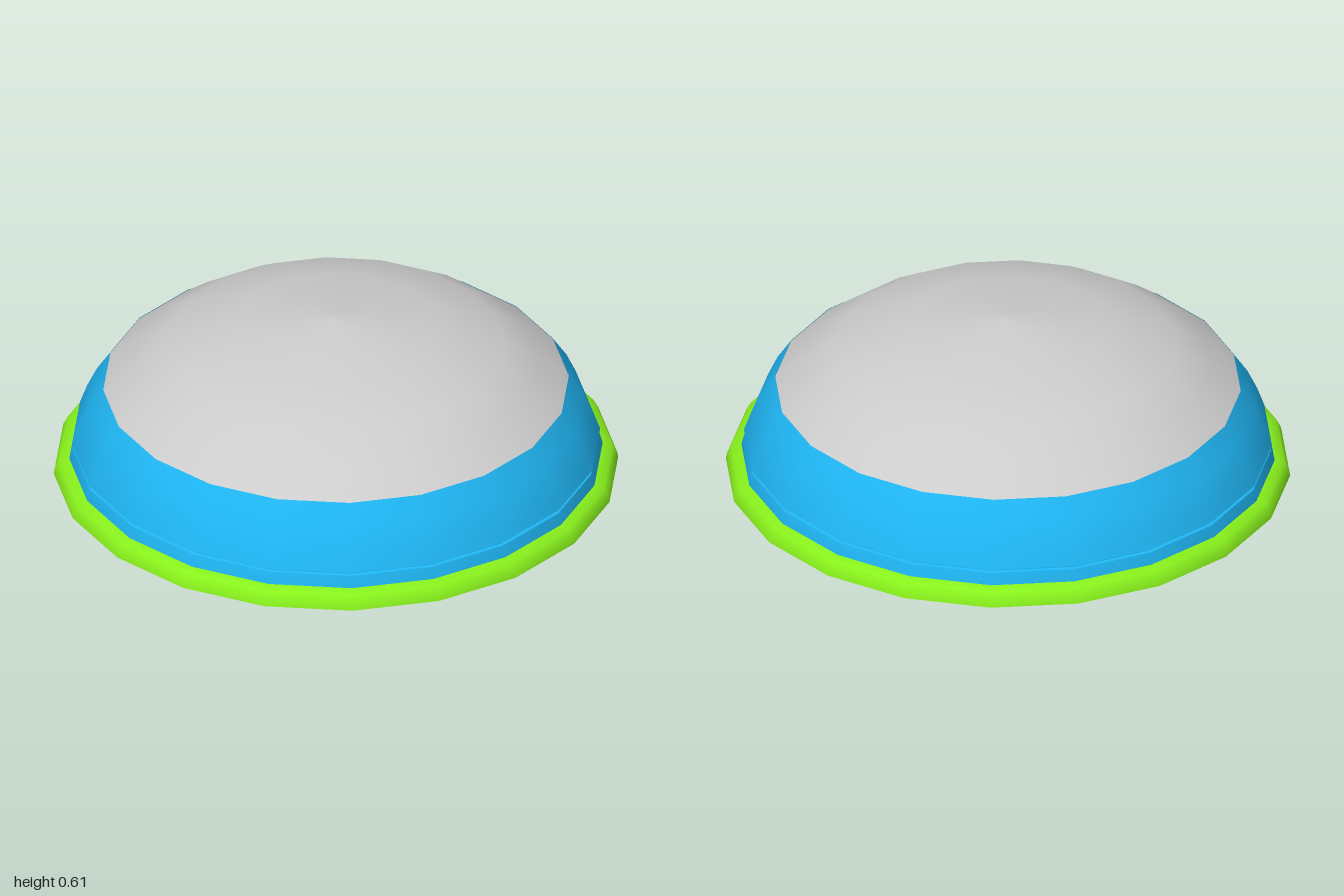
import * as THREE from 'three';
import { toCreasedNormals } from 'three/addons/utils/BufferGeometryUtils.js';

const SIDES = 20;
const pts = (list) => list.map(([r, y]) => new THREE.Vector2(r, y));
const paint = (color) => new THREE.MeshStandardMaterial({ color, side: THREE.DoubleSide });

// Thin surface turned from a [radius, height] profile that runs upward
function shell(name, profile, material, crease) {
  const geometry = new THREE.LatheGeometry(pts(profile), SIDES);
  const mesh = new THREE.Mesh(crease ? toCreasedNormals(geometry, crease) : geometry, material);
  mesh.name = name;
  return mesh;
}

// Hoop of square section
function hoop(name, r, y, size, material) {
  const s = size / 2;
  const profile = [[r - s, y - s], [r + s, y - s], [r + s, y + s], [r - s, y + s], [r - s, y - s]];
  return shell(name, profile, material, 0.6);
}

export function createModel() {
  const model = new THREE.Group();
  model.name = 'domeRoof';
  const green = paint(0x88f01c);
  const blue = paint(0x1fb6f4);
  const yellow = paint(0xe8e020);
  const grey = paint(0xcccccc);

  // Rounded rim at the foot
  model.add(shell('baseRim', [[1, 0], [0.996, 0.02], [0.98, 0.052], [0.945, 0.06]], green));

  // Sloping outer wall with a narrow groove near the foot
  model.add(shell('outerWall', [
    [0.952, 0], [0.945, 0.06], [0.933, 0.103], [0.922, 0.106], [0.921, 0.115],
    [0.936, 0.118], [0.93, 0.135], [0.91, 0.19], [0.875, 0.265], [0.825, 0.34],
  ], blue, 0.6));

  // Inner wall, set in from the outer one and open at the foot
  model.add(shell('innerWall', [[0.87, 0], [0.86, 0.1], [0.842, 0.2], [0.805, 0.325]], blue));

  // Shallow dome, open underneath, with a tiny flat crown
  model.add(shell('dome', [
    [0.825, 0.338], [0.72, 0.42], [0.6, 0.497], [0.37, 0.57], [0.03, 0.61], [0, 0.61],
  ], grey));

  // Frame under the dome: two hoops joined by straight ribs
  const frame = new THREE.Group();
  frame.name = 'domeFrame';
  frame.add(hoop('outerHoop', 0.8, 0.335, 0.018, yellow));
  frame.add(hoop('innerHoop', 0.37, 0.555, 0.016, yellow));

  const run = 0.8 - 0.37;
  const rise = 0.555 - 0.335;
  const ribGeometry = new THREE.BoxGeometry(Math.hypot(run, rise), 0.014, 0.022);
  ribGeometry.rotateZ(-Math.atan2(rise, run));
  ribGeometry.translate((0.8 + 0.37) / 2, (0.555 + 0.335) / 2, 0);
  for (let i = 0; i < SIDES; i++) {
    const rib = new THREE.Mesh(ribGeometry, yellow);
    rib.name = 'rib';
    rib.rotation.y = (i / SIDES) * Math.PI * 2;
    frame.add(rib);
  }
  model.add(frame);
  return model;
}
